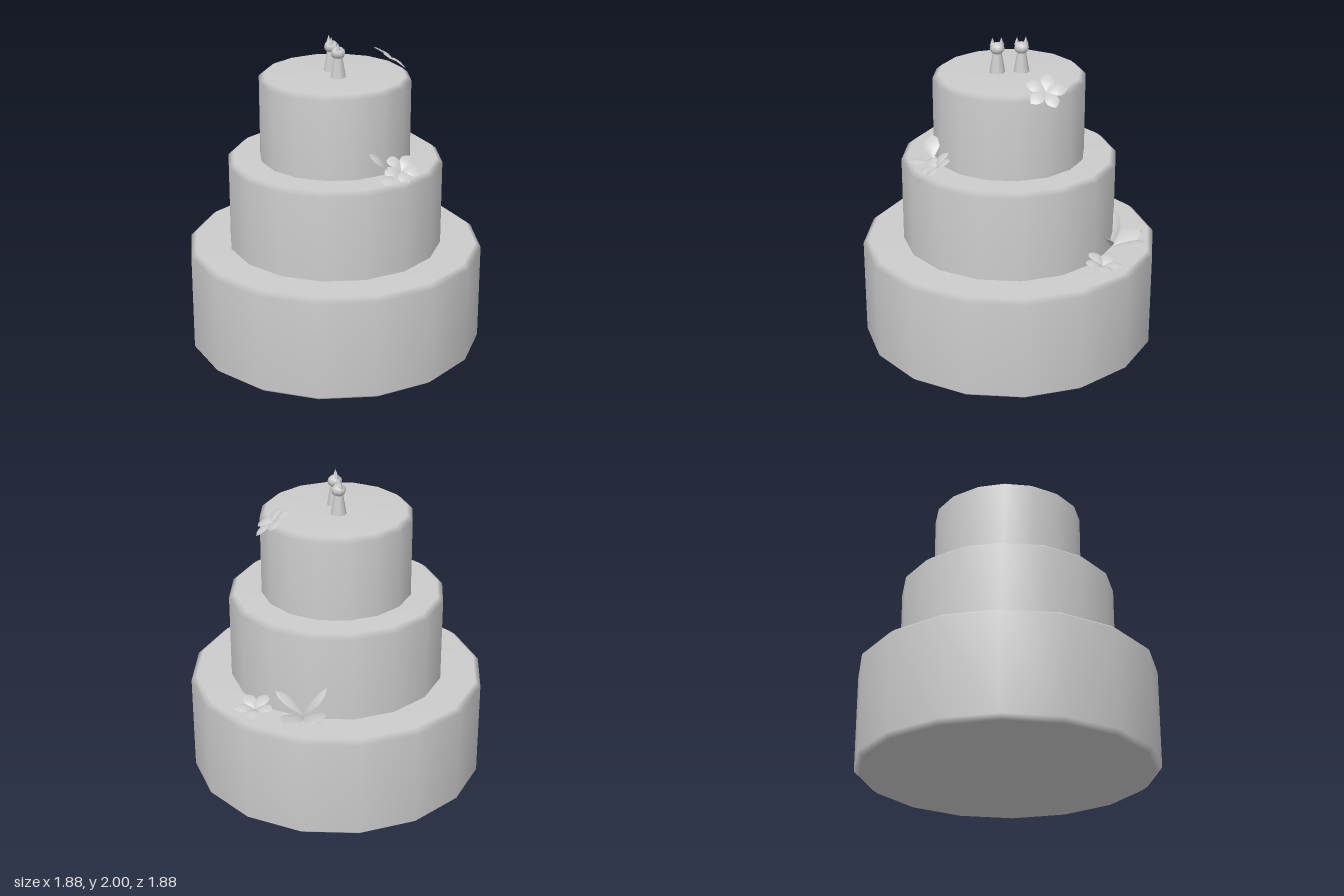
import * as THREE from 'three';
import { ParametricGeometry } from 'three/addons/geometries/ParametricGeometry.js';

const V = (a) => new THREE.Vector3(...a);
const material = new THREE.MeshStandardMaterial({ color: 0xcccccc });
const thin = new THREE.MeshStandardMaterial({ color: 0xcccccc, side: THREE.DoubleSide });

function part(name, geometry, parent, mat = material) {
  const mesh = new THREE.Mesh(geometry, mat);
  mesh.name = name;
  parent.add(mesh);
  return mesh;
}

// Sixteen-sided cake layer with a narrow bevel at its rims
function tier(name, radius, y0, y1, bottomBevel, parent) {
  const b = 0.035, h = 0.028;
  const points = [[0, y0], [radius - bottomBevel, y0]];
  if (bottomBevel) points.push([radius, y0 + h]);
  else points.push([radius, y0 + 0.02]);
  points.push([radius, y1 - h], [radius - b, y1], [0, y1]);
  part(name, new THREE.LatheGeometry(points.map((p) => new THREE.Vector2(...p)), 16), parent);
}

// Thin, slightly arched leaf shape running from base to tip
function petal(name, base, tip, width, normal, arch, parent) {
  const along = tip.clone().sub(base);
  const side = normal.clone().cross(along).normalize();
  const up = along.clone().cross(side).normalize();
  const geometry = new ParametricGeometry((u, v, target) => {
    const w = width * Math.pow(Math.max(0, Math.sin(Math.PI * Math.pow(u, 1.3))), 0.75);
    const s = v - 0.5;
    target.copy(base).addScaledVector(along, u)
      .addScaledVector(side, w * s)
      .addScaledVector(up, arch * Math.sin(Math.PI * u) - w * s * s * 0.3);
  }, 8, 4);
  part(name, geometry, parent, thin);
}

// Five petals around a centre; first gives the direction of the first petal
function flower(name, centre, normal, first, radius, lift, parent) {
  const group = new THREE.Group();
  group.name = name;
  const c = V(centre), n = V(normal).normalize();
  const e1 = V(first).projectOnPlane(n).normalize();
  const e2 = n.clone().cross(e1);
  for (let i = 0; i < 5; i++) {
    const a = (i / 5) * Math.PI * 2;
    const tip = c.clone().addScaledVector(e1, radius * Math.cos(a))
      .addScaledVector(e2, radius * Math.sin(a)).addScaledVector(n, lift);
    petal('petal', c, tip, radius * 0.66, n, 0.015, group);
  }
  parent.add(group);
}

// Small topper: tapered body, round head and two pointed ears
function topper(z, parent) {
  const group = new THREE.Group();
  group.name = 'topperFigure';
  group.position.set(0, 1.775, z);
  part('body', new THREE.CylinderGeometry(0.026, 0.05, 0.14, 8), group).position.y = 0.07;
  const head = part('head', new THREE.SphereGeometry(0.046, 8, 6), group);
  head.scale.y = 0.85;
  head.position.y = 0.157;
  for (const s of [-1, 1]) {
    const ear = part('ear', new THREE.ConeGeometry(0.018, 0.05, 4), group);
    ear.position.set(-0.008, 0.2, s * 0.027);
  }
  parent.add(group);
}

export function createModel() {
  const cake = new THREE.Group();
  cake.name = 'cake';

  tier('bottomTier', 0.94, 0, 0.68, 0.035, cake);
  tier('middleTier', 0.68, 0.66, 1.25, 0, cake);
  tier('topTier', 0.475, 1.23, 1.78, 0, cake);

  for (const z of [-0.075, 0.075]) topper(z, cake);

  // Blossoms resting on each tier
  flower('topFlower', [0.415, 1.79, -0.175], [0.56, 0.82, 0], [-0.1, 0, -1], 0.13, 0.01, cake);
  flower('middleFlower', [0.28, 1.28, 0.475], [0.05, 0.85, 0.5], [0.6, 0, -0.9], 0.125, 0.02, cake);
  flower('bottomFlower', [0.585, 0.71, -0.515], [0.1, 1, -0.15], [0.35, 0, 1], 0.125, 0.03, cake);

  // Larger leaves beside the blossoms: base, tip, width, facing
  const leaves = [
    [[0.19, 1.3, 0.49], [0.07, 1.41, 0.49], 0.105, [0.6, 0.7, 0.3]],
    [[0.2, 1.27, 0.51], [0.125, 1.265, 0.65], 0.085, [0, 1, 0.1]],
    [[0.29, 0.7, -0.62], [0.215, 0.77, -0.825], 0.13, [0.35, 1, 0.2]],
    [[0.3, 0.7, -0.62], [0.445, 0.78, -0.81], 0.13, [-0.2, 1, 0.2]],
    [[0.3, 0.7, -0.62], [0.16, 0.9, -0.65], 0.1, [0.8, 0.5, -0.3]],
    [[0.3, 0.7, -0.62], [0.46, 0.84, -0.54], 0.08, [-0.6, 0.5, -0.5]],
  ];
  for (const [base, tip, width, facing] of leaves) {
    petal('leaf', V(base), V(tip), width, V(facing), 0.015, cake);
  }
  return cake;
}
